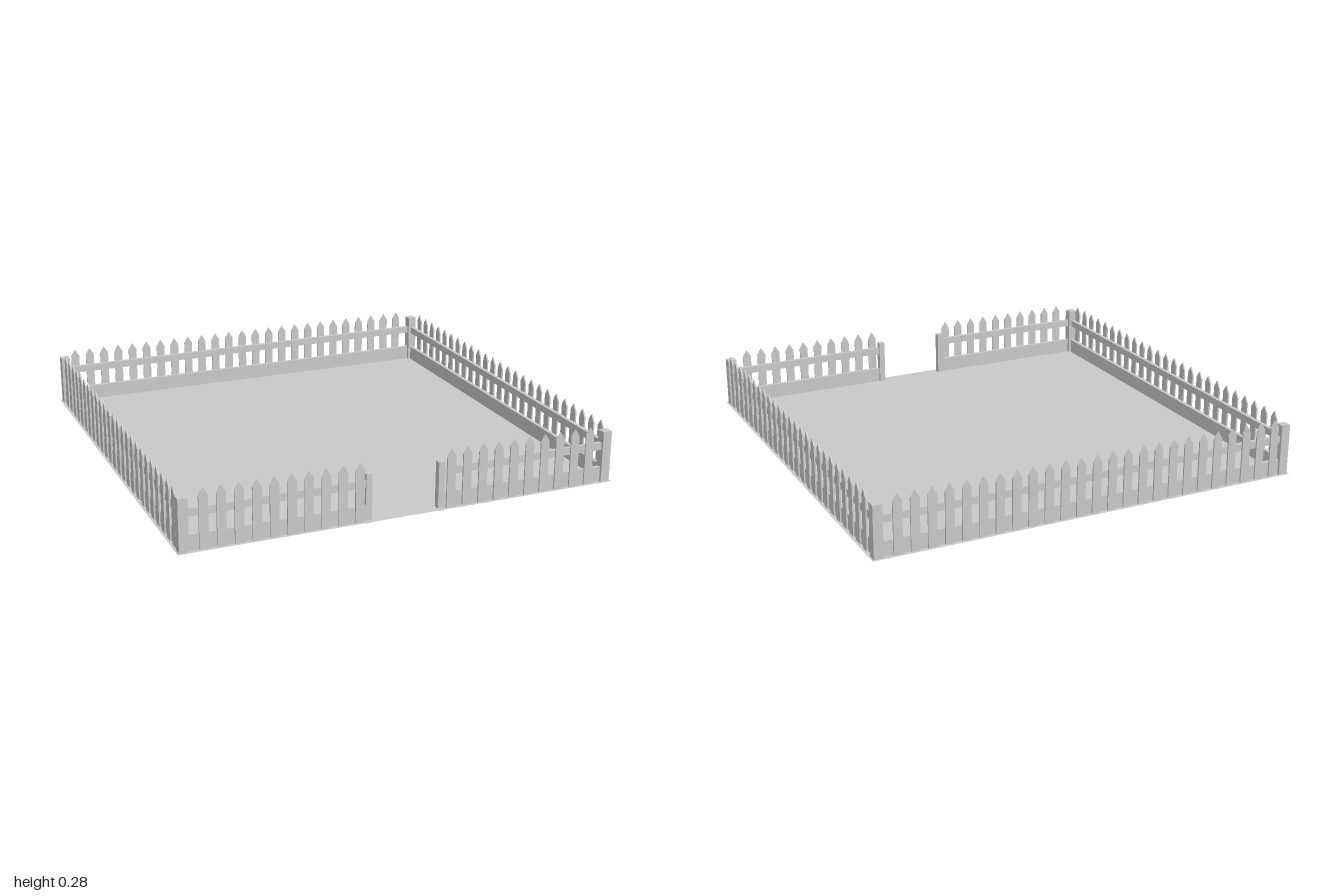
import * as THREE from 'three';

const material = new THREE.MeshStandardMaterial({ color: 0xcccccc, flatShading: true, side: THREE.DoubleSide });
const BASE = 0.007;   // underside of the fence
const STEP = 0.075;   // picket spacing

// Box given by its min and max corners
function block(name, [x0, y0, z0], [x1, y1, z1]) {
  const geometry = new THREE.BoxGeometry(x1 - x0, y1 - y0, z1 - z0);
  geometry.translate((x0 + x1) / 2, (y0 + y1) / 2, (z0 + z1) / 2);
  const mesh = new THREE.Mesh(geometry, material);
  mesh.name = name;
  return mesh;
}

// Thin board with a pointed top
function makePicketGeometry() {
  const w = 0.02;
  const shape = new THREE.Shape([
    [-w, BASE], [w, BASE], [w, 0.243], [0, 0.275], [-w, 0.243],
  ].map(([x, y]) => new THREE.Vector2(x, y)));
  return new THREE.ExtrudeGeometry(shape, { depth: 0.007, bevelEnabled: false });
}
const picketGeometry = makePicketGeometry();

// Fence run facing +z: two rails with pickets on their outer side
function fenceRun(name, railStart, railEnd, firstPicket, count) {
  const run = new THREE.Group();
  run.name = name;
  run.add(
    block('lowerRail', [railStart, BASE, 0.963], [railEnd, 0.08, 0.981]),
    block('upperRail', [railStart, 0.16, 0.963], [railEnd, 0.193, 0.981]),
  );
  for (let i = 0; i < count; i++) {
    const picket = new THREE.Mesh(picketGeometry, material);
    picket.name = 'picket';
    picket.position.set(firstPicket + i * STEP, 0, 0.981);
    run.add(picket);
  }
  return run;
}

export function createModel() {
  const model = new THREE.Group();
  model.name = 'fencedYard';

  // Ground sheet
  const ground = new THREE.Mesh(new THREE.PlaneGeometry(2, 2).rotateX(-Math.PI / 2), material);
  ground.name = 'ground';
  ground.position.y = 0.011;
  model.add(ground);

  // Back and side fences
  const back = fenceRun('backFence', -0.955, 0.955, -0.885, 25);
  back.rotation.y = Math.PI;
  const left = fenceRun('leftFence', -0.955, 0.955, -0.915, 25);
  left.rotation.y = Math.PI / 2;
  const right = fenceRun('rightFence', -0.955, 0.955, -0.885, 25);
  right.rotation.y = -Math.PI / 2;
  model.add(back, left, right);

  // Front fence on both sides of the opening
  model.add(
    fenceRun('frontLeftFence', 0.17, 0.955, 0.21, 10),
    fenceRun('frontRightFence', -0.955, -0.17, -0.885, 10),
  );

  // Corner posts and gate posts
  for (const sx of [-1, 1]) {
    for (const sz of [-1, 1]) {
      const post = block('cornerPost', [-0.021, BASE, -0.021], [0.021, 0.245, 0.021]);
      post.position.set(sx * 0.971, 0, sz * 0.971);
      model.add(post);
    }
    const gatePost = block('gatePost', [-0.014, 0, -0.015], [0.014, 0.22, 0.015]);
    gatePost.position.set(sx * 0.167, 0, 0.967);
    model.add(gatePost);
  }
  return model;
}
